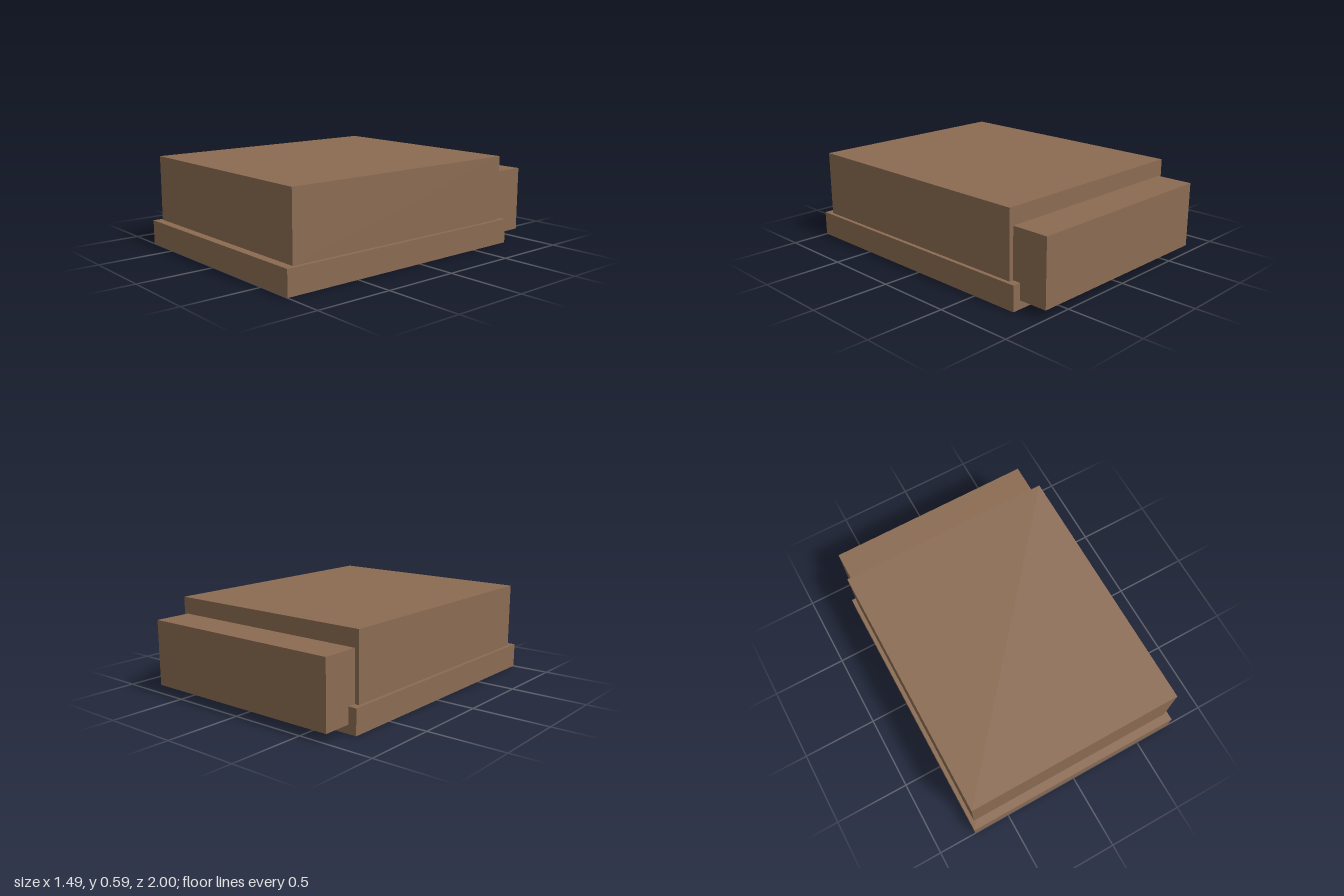
import * as THREE from 'three';

export function createModel() {
  const model = new THREE.Group();
  const brown = new THREE.MeshStandardMaterial({ color: 0x8b6b52 });
  brown.name = 'brown';

  // Box given by half width, then its y and z ranges
  const addBlock = (name, halfWidth, y0, y1, z0, z1) => {
    const mesh = new THREE.Mesh(new THREE.BoxGeometry(halfWidth * 2, y1 - y0, z1 - z0), brown);
    mesh.position.set(0, (y0 + y1) / 2, (z0 + z1) / 2);
    mesh.name = name;
    model.add(mesh);
  };

  addBlock('base', 0.745, 0, 0.16, -0.81, 1);
  addBlock('mattress', 0.72, 0.16, 0.588, -0.757, 0.945);
  addBlock('backBolster', 0.692, 0.056, 0.48, -1, -0.75);

  return model;
}
